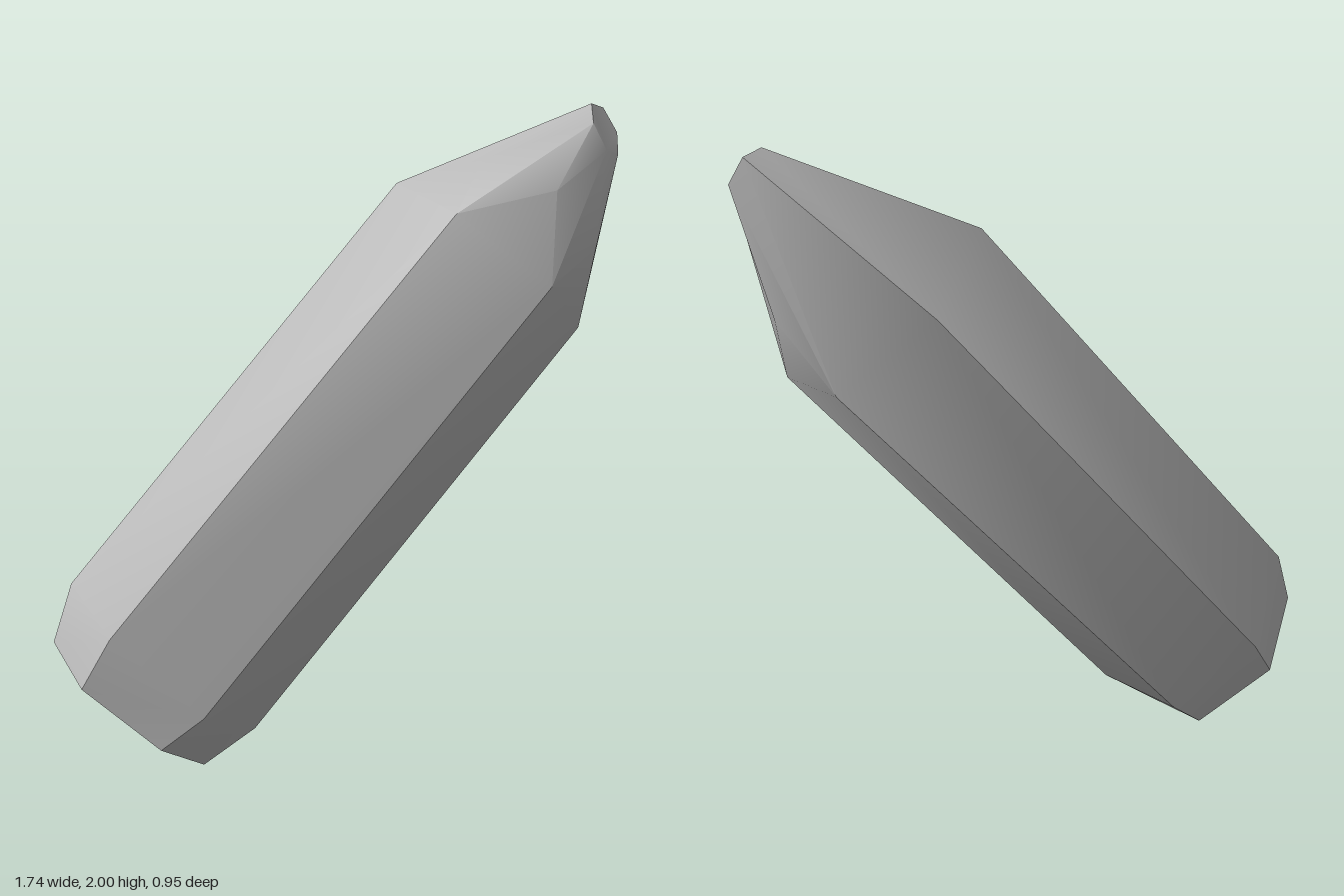
import * as THREE from 'three';
import { toCreasedNormals } from 'three/addons/utils/BufferGeometryUtils.js';

// Six-sided cross-sections of the leaning crystal, from base to tip
const RINGS = [
  [[-0.69, 0.16, 0.12], [-0.48, 0, -0.02], [-0.45, 0.04, -0.30], [-0.63, 0.23, -0.44], [-0.84, 0.385, -0.315], [-0.87, 0.34, -0.03]],
  [[-0.59, 0.27, 0.205], [-0.33, 0.11, 0.04], [-0.31, 0.15, -0.32], [-0.51, 0.37, -0.48], [-0.77, 0.56, -0.325], [-0.81, 0.51, 0.05]],
  [[0.44, 1.49, 0.475], [0.69, 1.32, 0.31], [0.725, 1.35, -0.02], [0.52, 1.575, -0.22], [0.245, 1.76, -0.05], [0.215, 1.70, 0.305]],
  [[0.74, 1.865, 0.35], [0.81, 1.85, 0.325], [0.865, 1.91, 0.255], [0.835, 1.985, 0.22], [0.76, 2.0, 0.25], [0.71, 1.945, 0.32]],
];

// Slight swellings in the middle of some tip facets, by side number
const BULGES = { 0: [0.665, 1.58, 0.405], 1: [0.78, 1.53, 0.20], 4: [0.41, 1.84, 0.17], 5: [0.51, 1.76, 0.40] };

function buildGeometry(triangles) {
  const g = new THREE.BufferGeometry();
  g.setAttribute('position', new THREE.Float32BufferAttribute(triangles.flat(2), 3));
  return toCreasedNormals(g, 0.6);
}

export function createModel() {
  const group = new THREE.Group();
  group.name = 'crystal';
  const stone = new THREE.MeshStandardMaterial({ color: 0xb8b8b8 });
  stone.name = 'grey stone';

  const triangles = [];
  // Side facets between neighbouring rings
  for (let r = 0; r < RINGS.length - 1; r++) {
    for (let i = 0; i < 6; i++) {
      const j = (i + 1) % 6;
      const quad = [RINGS[r][i], RINGS[r][j], RINGS[r + 1][j], RINGS[r + 1][i]];
      const mid = r === 2 ? BULGES[i] : undefined;
      if (mid) quad.forEach((p, k) => triangles.push([p, quad[(k + 1) % 4], mid]));
      else triangles.push([quad[0], quad[1], quad[2]], [quad[0], quad[2], quad[3]]);
    }
  }
  // Flat ends
  const base = RINGS[0];
  const tip = RINGS[3];
  for (let i = 1; i < 5; i++) {
    triangles.push([base[0], base[i + 1], base[i]], [tip[0], tip[i], tip[i + 1]]);
  }

  const shard = new THREE.Mesh(buildGeometry(triangles), stone);
  shard.name = 'crystalShard';
  group.add(shard);
  return group;
}
